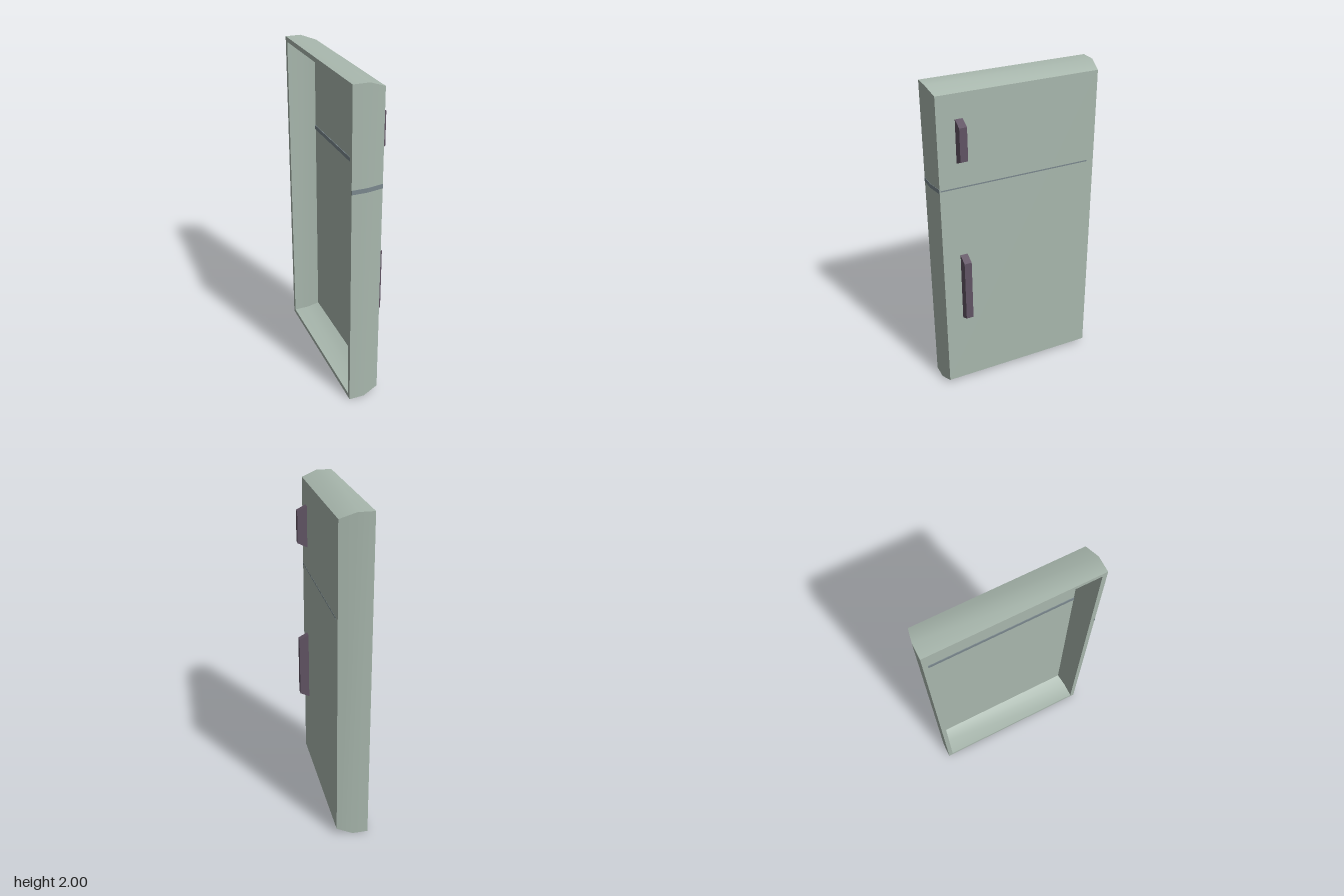
import * as THREE from 'three';

const paint = new THREE.MeshStandardMaterial({ color: 0xa9b8ae });
paint.name = 'sage paint';
const grip = new THREE.MeshStandardMaterial({ color: 0x615464 });
grip.name = 'plum handle';
const seal = new THREE.MeshStandardMaterial({ color: 0x7b888e });
seal.name = 'grey seam';

// Rectangular cross-section at depth x, inset from the full outline
const ring = (x, inset) => {
  const z = 0.512 - inset.z, lo = inset.y, hi = 2 - inset.y;
  return [[x, lo, z], [x, lo, -z], [x, hi, -z], [x, hi, z]];
};

const geometryFrom = (positions, index) => {
  const g = new THREE.BufferGeometry();
  g.setAttribute('position', new THREE.Float32BufferAttribute(positions.flat(), 3));
  g.setIndex(index);
  g.computeVertexNormals();
  return g;
};

// Four walls through the given rings: smooth along the depth, sharp at corners
function walls(rings) {
  const positions = [], index = [];
  for (let k = 0; k < 4; k++) {
    const start = positions.length;
    rings.forEach(r => positions.push(r[k], r[(k + 1) % 4]));
    for (let i = 0; i < rings.length - 1; i++) {
      const a = start + i * 2;
      index.push(a, a + 1, a + 2, a + 1, a + 3, a + 2);
    }
  }
  return geometryFrom(positions, index);
}

const panel = (r, back) => geometryFrom(r, back ? [0, 2, 1, 0, 3, 2] : [0, 1, 2, 0, 2, 3]);

export function createModel() {
  const model = new THREE.Group();
  model.name = 'fridgeDoor';
  const add = (name, geometry, material) => {
    const mesh = new THREE.Mesh(geometry, material);
    mesh.name = name;
    model.add(mesh);
    return mesh;
  };

  // Hollow door shell with bevelled front and open back
  const outer = [
    ring(-0.125, { y: 0, z: 0 }),
    ring(-0.03, { y: 0, z: 0 }),
    ring(0.065, { y: 0.035, z: 0.018 }),
  ];
  const inner = [
    ring(0.045, { y: 0.055, z: 0.042 }),
    ring(-0.03, { y: 0.028, z: 0.028 }),
    ring(-0.125, { y: 0.028, z: 0.028 }),
  ];
  add('outerWalls', walls(outer), paint);
  add('frontPanel', panel(outer[2]), paint);
  add('innerWalls', walls(inner), paint);
  add('innerPanel', panel(inner[0], true), paint);
  add('backRim', walls([inner[2], outer[0]]), paint);

  // Seam band following the bevelled side, shape drawn as (x, -z)
  const band = new THREE.Shape([
    [-0.125, -0.505], [-0.125, -0.514], [-0.03, -0.514],
    [0.065, -0.496], [0.065, -0.488], [-0.03, -0.505],
  ].map(p => new THREE.Vector2(...p)));
  const sideSeam = add('sideSeam',
    new THREE.ExtrudeGeometry(band, { depth: 0.026, bevelEnabled: false }), seal);
  sideSeam.rotation.x = -Math.PI / 2;
  sideSeam.position.y = 1.395;

  // Seam across the inner panel and a fine line across the front
  const innerSeam = add('innerSeam', new THREE.BoxGeometry(0.006, 0.026, 0.94), seal);
  innerSeam.position.set(0.044, 1.408, 0);
  const frontSeam = add('frontSeam', new THREE.BoxGeometry(0.003, 0.008, 0.94), seal);
  frontSeam.position.set(0.0645, 1.408, 0.02);

  // Tapered handles
  for (const [name, lo, hi] of [['upperHandle', 1.56, 1.82], ['lowerHandle', 0.507, 0.963]]) {
    const side = new THREE.Shape([
      [0.06, lo], [0.065, lo], [0.125, lo + 0.03],
      [0.125, hi - 0.03], [0.065, hi], [0.06, hi],
    ].map(p => new THREE.Vector2(...p)));
    const handle = add(name,
      new THREE.ExtrudeGeometry(side, { depth: 0.045, bevelEnabled: false }), grip);
    handle.position.z = 0.341;
  }

  return model;
}
